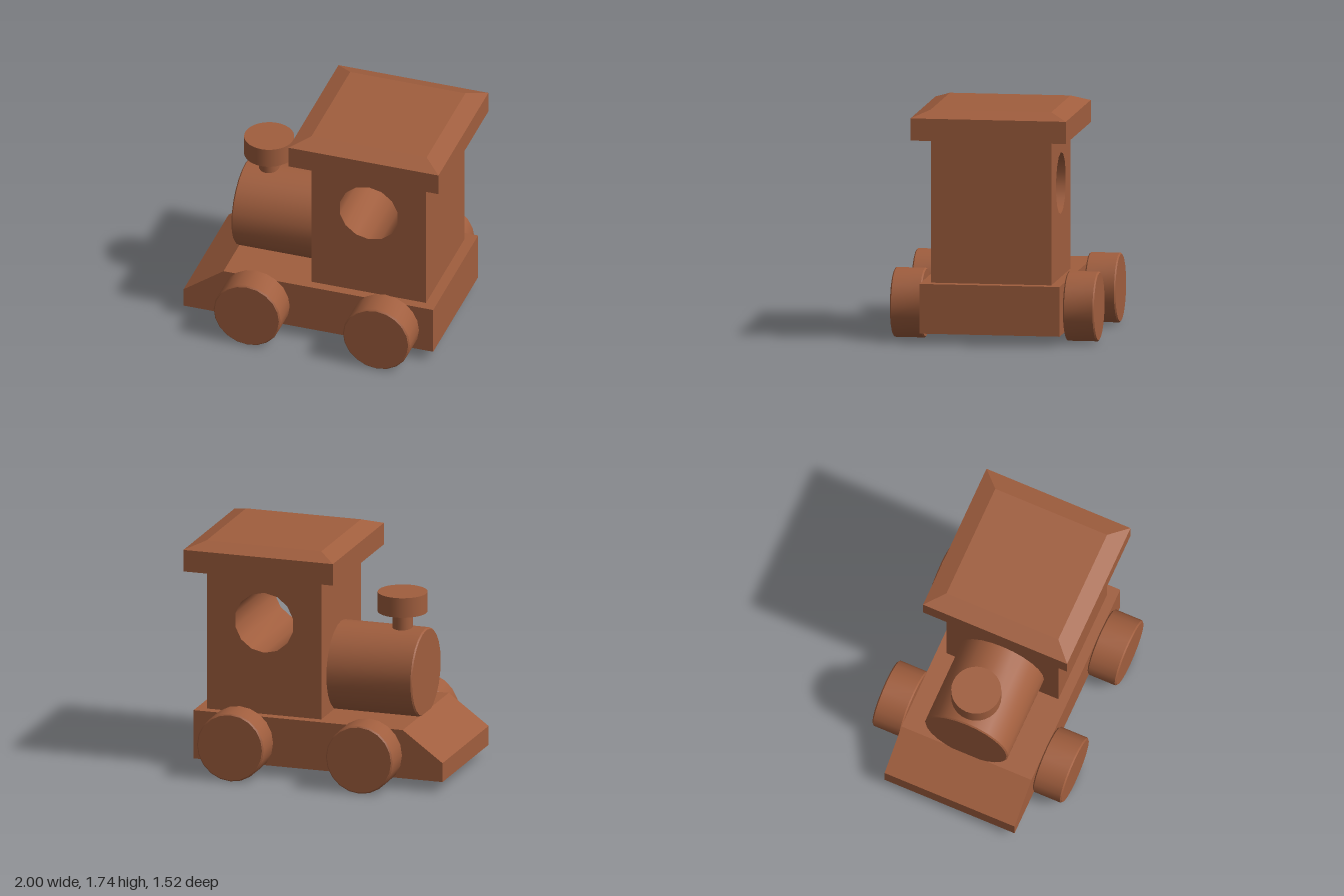
import * as THREE from 'three';
import { toCreasedNormals } from 'three/addons/utils/BufferGeometryUtils.js';

export function createModel() {
  const model = new THREE.Group();
  model.name = 'toyTrain';
  const wood = new THREE.MeshStandardMaterial({ color: 0xa05e3e });
  wood.name = 'reddish brown wood';

  const add = (name, geometry, x = 0, y = 0, z = 0) => {
    const mesh = new THREE.Mesh(geometry, wood);
    mesh.name = name;
    mesh.position.set(x, y, z);
    model.add(mesh);
    return mesh;
  };

  // Solid disc or drum along y, centred, with slightly eased edges
  const drum = (r, length, sides, ease = 0.01) => {
    const h = length / 2;
    const profile = [[0, -h], [r - ease, -h], [r, -h + ease], [r, h - ease], [r - ease, h], [0, h]]
      .map(([x, y]) => new THREE.Vector2(x, y));
    return toCreasedNormals(new THREE.LatheGeometry(profile, sides), 0.6);
  };

  // Side outline extruded across the width, centred on z = 0
  const slab = (points, width, hole) => {
    const shape = new THREE.Shape(points.map(([x, y]) => new THREE.Vector2(x, y)));
    if (hole) shape.holes.push(hole);
    const g = new THREE.ExtrudeGeometry(shape, { depth: width, bevelEnabled: false, curveSegments: 7 });
    g.translate(0, 0, -width / 2);
    return toCreasedNormals(g, 0.6);
  };

  // Chassis with sloping nose
  add('chassis', slab([[-1, 0.085], [0.94, 0.085], [0.94, 0.455], [-0.69, 0.455], [-1, 0.23]], 1.046));

  // Cab with a round window bored right through
  const bore = new THREE.Path();
  bore.absarc(0.415, 1.155, 0.23, Math.PI / 2, Math.PI * 2.5, false);
  add('cab', slab([[-0.03, 0.455], [0.86, 0.455], [0.86, 1.53], [-0.03, 1.53]], 0.9, bore));

  // Roof: a box whose top edge is drawn in to a shallow chamfer
  const roof = new THREE.BoxGeometry(1.165, 0.215, 1.16, 1, 2, 1).toNonIndexed();
  const p = roof.attributes.position;
  for (let i = 0; i < p.count; i++) {
    const y = p.getY(i);
    if (Math.abs(y) < 0.01) p.setY(i, 0.0575);
    else if (y > 0) {
      p.setX(i, Math.sign(p.getX(i)) * 0.4475);
      p.setZ(i, Math.sign(p.getZ(i)) * 0.45);
    }
  }
  roof.computeVertexNormals();
  add('roof', roof, 0.4175, 1.6375, 0);

  // Boiler, lying along x
  add('boiler', drum(0.335, 0.685, 24), -0.3525, 0.755, 0).rotation.z = Math.PI / 2;

  // Chimney
  add('chimneyStem', new THREE.CylinderGeometry(0.075, 0.075, 0.16, 24), -0.51, 1.14, 0);
  add('chimneyCap', new THREE.CylinderGeometry(0.185, 0.185, 0.15, 32), -0.51, 1.285, 0);

  // Wheels and hidden axles
  for (const [end, x] of [['front', -0.43], ['rear', 0.575]]) {
    for (const [side, s] of [['Left', 1], ['Right', -1]]) {
      add(`${end}Wheel${side}`, drum(0.26, 0.232, 20), x, 0.265, s * 0.646).rotation.x = Math.PI / 2;
    }
    add(`${end}Axle`, new THREE.CylinderGeometry(0.05, 0.05, 1.1, 12), x, 0.265, 0).rotation.x = Math.PI / 2;
  }

  return model;
}
